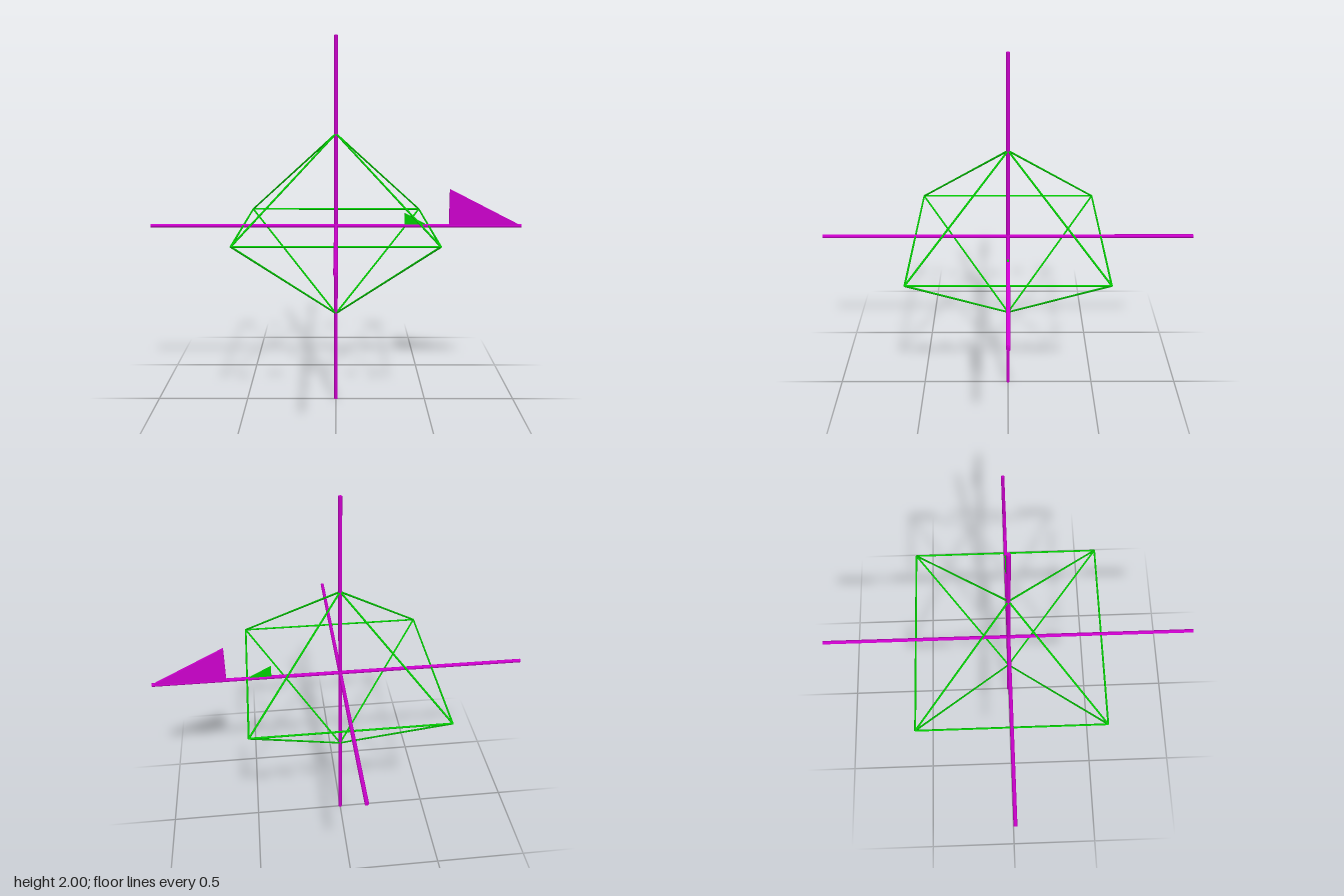
import * as THREE from 'three';

const V = (x, y, z) => new THREE.Vector3(x, y, z);

// Thin rod between two points
function rod(name, a, b, radius, material) {
  const dir = b.clone().sub(a);
  const mesh = new THREE.Mesh(new THREE.CylinderGeometry(radius, radius, dir.length(), 8), material);
  mesh.position.copy(a).add(b).multiplyScalar(0.5);
  mesh.quaternion.setFromUnitVectors(V(0, 1, 0), dir.normalize());
  mesh.name = name;
  return mesh;
}

// Thin triangular pennant pointing along +x
function pennant(name, x0, x1, height, depth, material) {
  const shape = new THREE.Shape([
    new THREE.Vector2(x0, 1), new THREE.Vector2(x1, 1), new THREE.Vector2(x0, 1 + height),
  ]);
  const geometry = new THREE.ExtrudeGeometry(shape, { depth, bevelEnabled: false });
  geometry.translate(0, 0, -depth / 2);
  const mesh = new THREE.Mesh(geometry, material);
  mesh.name = name;
  return mesh;
}

export function createModel() {
  const model = new THREE.Group();
  model.name = 'axisMarker';
  const purple = new THREE.MeshStandardMaterial({ color: 0xcc00cc });
  purple.name = 'purple';
  const green = new THREE.MeshStandardMaterial({ color: 0x00cc00 });
  green.name = 'green';

  // Three crossing axes
  model.add(
    rod('axisX', V(-1, 1, 0), V(1, 1, 0), 0.01, purple),
    rod('axisY', V(0, 0, 0), V(0, 2, 0), 0.01, purple),
    rod('axisZ', V(0, 1, -1), V(0, 1, 1), 0.01, purple),
  );

  // Octahedral wire frame: square waist joined to top and bottom points
  const frame = new THREE.Group();
  frame.name = 'wireFrame';
  const corners = [V(0.5, 1, 0.5), V(0.5, 1, -0.5), V(-0.5, 1, -0.5), V(-0.5, 1, 0.5)];
  corners.forEach((c, i) => {
    frame.add(
      rod('waistEdge', c, corners[(i + 1) % 4], 0.005, green),
      rod('upperEdge', c, V(0, 1.495, 0), 0.005, green),
      rod('lowerEdge', c, V(0, 0.505, 0), 0.005, green),
    );
  });
  model.add(frame);

  // Direction pennants on the +x arm
  model.add(
    pennant('largePennant', 0.61, 1, 0.2, 0.016, purple),
    pennant('smallPennant', 0.37, 0.5, 0.07, 0.01, green),
  );
  return model;
}
